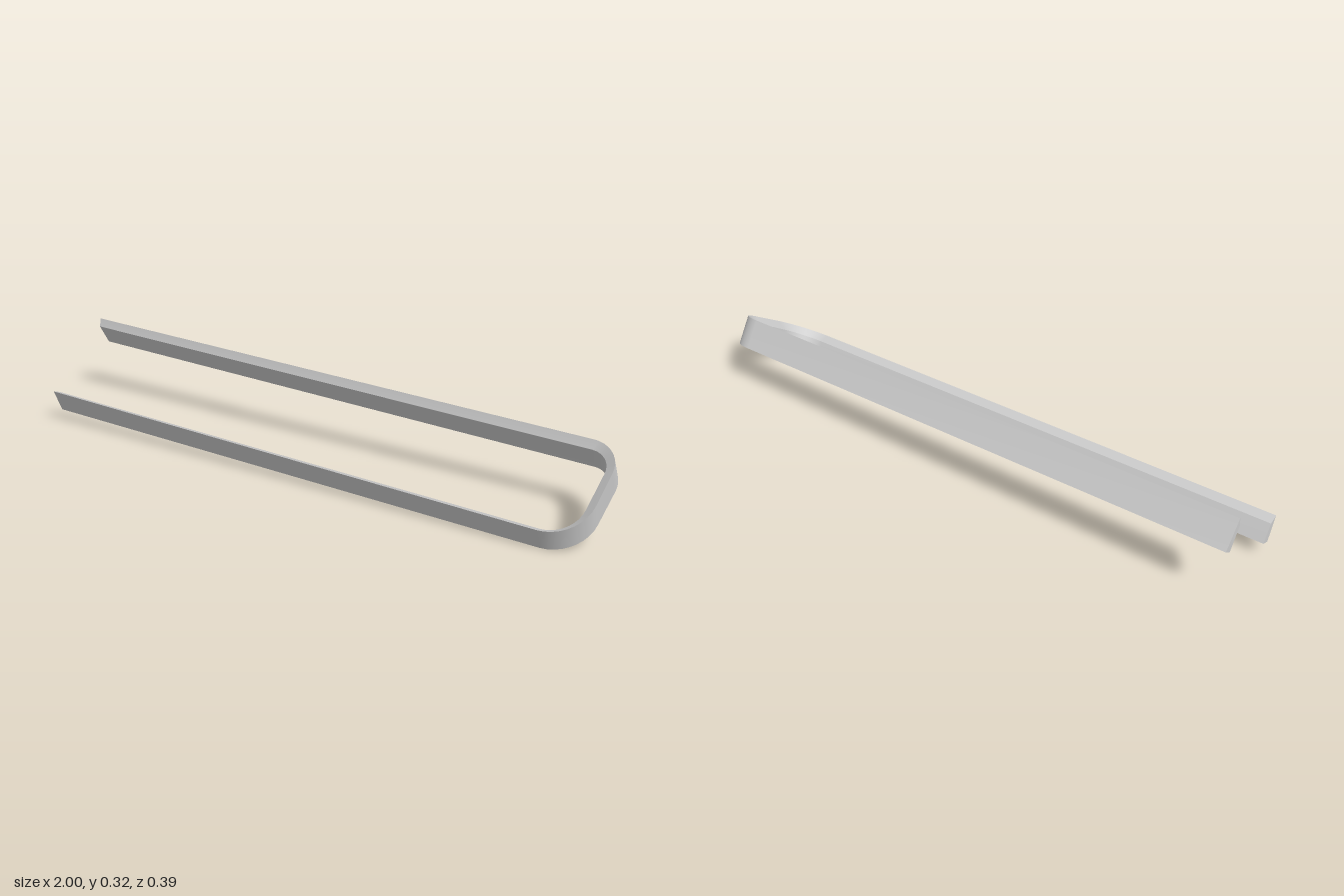
import * as THREE from 'three';

const V = (x, y, z) => new THREE.Vector3(x, y, z);

// One long edge of the bent strip: arm, rounded corner, bridge, rounded corner, arm
function rail([a, b, c, d], rFront, rBack, steps = 9) {
  const pts = [a];
  const corner = (prev, p, next, r) => {
    const p0 = p.clone().add(prev.clone().sub(p).setLength(r));
    const p3 = p.clone().add(next.clone().sub(p).setLength(r));
    const curve = new THREE.CubicBezierCurve3(p0, p0.clone().lerp(p, 0.55), p3.clone().lerp(p, 0.55), p3);
    pts.push(...curve.getPoints(steps));
  };
  corner(a, b, c, rFront);
  corner(b, c, d, rBack);
  pts.push(d);
  return pts;
}

// Smooth surface between two neighbouring edges
function ribbon(a, b) {
  const pos = [], idx = [];
  a.forEach((p, i) => {
    pos.push(...p.toArray(), ...b[i].toArray());
    if (i) {
      const k = 2 * (i - 1);
      idx.push(k, k + 2, k + 3, k, k + 3, k + 1);
    }
  });
  return surface(pos, idx);
}

function surface(pos, idx) {
  const g = new THREE.BufferGeometry();
  g.setAttribute('position', new THREE.Float32BufferAttribute(pos, 3));
  g.setIndex(idx);
  g.computeVertexNormals();
  return g;
}

export function createModel() {
  const group = new THREE.Group();
  group.name = 'bentStrip';
  const material = new THREE.MeshStandardMaterial({ color: 0xcccccc });
  const add = (name, geometry) => {
    const mesh = new THREE.Mesh(geometry, material);
    mesh.name = name;
    group.add(mesh);
  };

  // The four edges of the cross-section, in order around it
  const outerBottom = rail([V(-1, 0.045, 0.16), V(0.98, -0.003, 0.11), V(1.008, 0.183, -0.199), V(-1, 0.235, -0.155)], 0.13, 0.1);
  const outerTop = rail([V(-1, 0.13, 0.195), V(0.98, 0.077, 0.147), V(1.008, 0.273, -0.142), V(-1, 0.32, -0.09)], 0.13, 0.1);
  const innerTop = rail([V(-1, 0.117, 0.165), V(0.95, 0.067, 0.117), V(0.978, 0.243, -0.13), V(-1, 0.29, -0.083)], 0.1, 0.07);
  const innerBottom = rail([V(-1, 0.058, 0.13), V(0.95, 0.01, 0.08), V(0.978, 0.165, -0.172), V(-1, 0.215, -0.127)], 0.1, 0.07);
  const rails = [outerBottom, outerTop, innerTop, innerBottom];

  // Long faces
  ['outerFace', 'topEdge', 'innerFace', 'bottomEdge'].forEach((name, i) =>
    add(name, ribbon(rails[i], rails[(i + 1) % 4])));

  // Cut ends of the two arms
  const ring = (i) => rails.flatMap((r) => r.at(i).toArray());
  add('frontArmEnd', surface(ring(0), [0, 1, 2, 0, 2, 3]));
  add('backArmEnd', surface(ring(-1), [0, 2, 1, 0, 3, 2]));
  return group;
}
